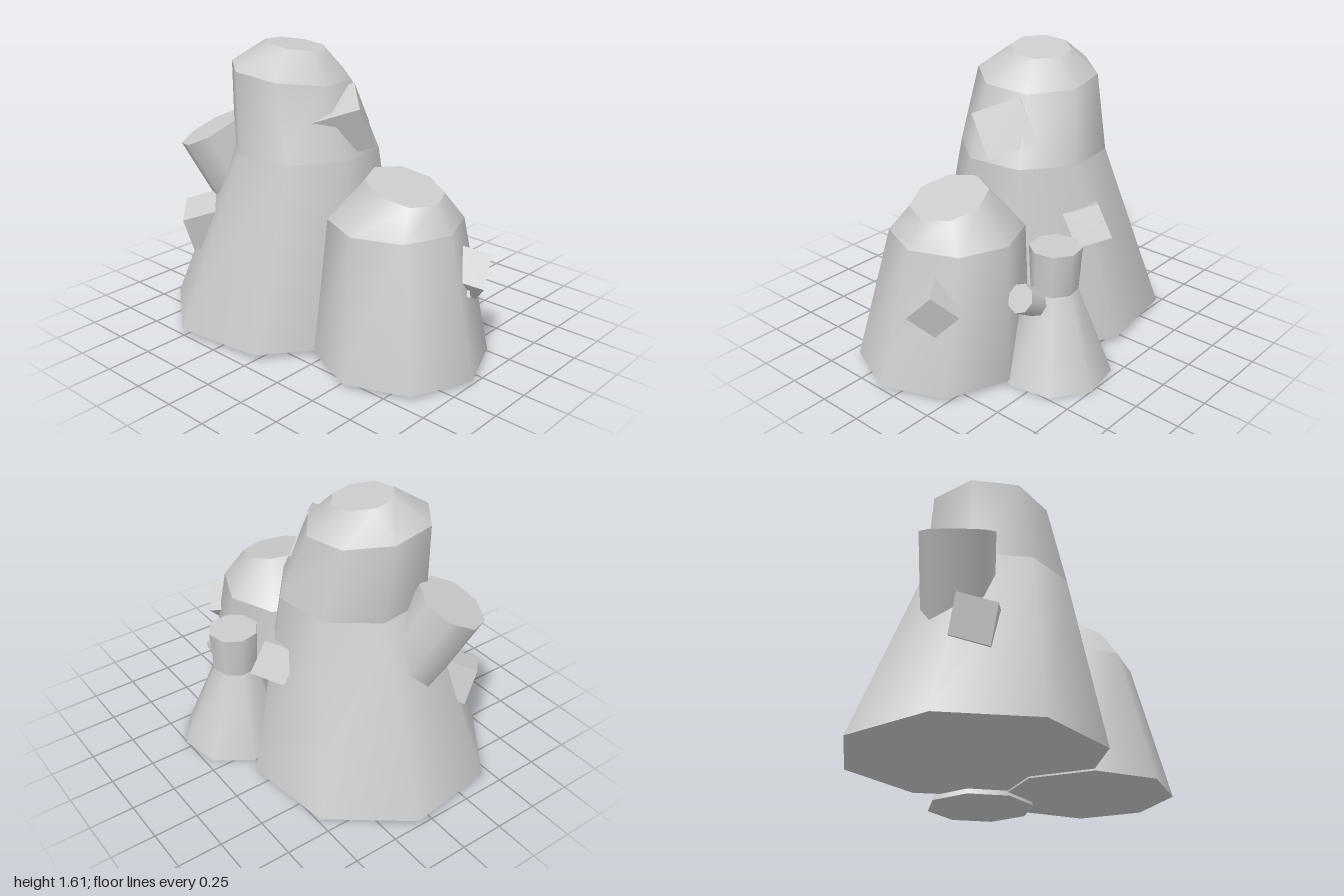
import * as THREE from 'three';

const SIDES = 8;
const material = new THREE.MeshStandardMaterial({ color: 0xcccccc });
const flatMaterial = new THREE.MeshStandardMaterial({ color: 0xcccccc, flatShading: true });

// Stacked octagonal rings [y, x, z, radius, slopeX, slopeZ]; each band is smooth around, creased at its rings.
function rock(name, turn, rings) {
  const pos = [];
  const index = [];
  const addRing = ([y, cx, cz, r, sx = 0, sz = 0]) => {
    const start = pos.length / 3;
    for (let i = 0; i < SIDES; i++) {
      const a = turn + (i / SIDES) * Math.PI * 2;
      const dx = r * Math.cos(a);
      const dz = r * Math.sin(a);
      pos.push(cx + dx, y + sx * dx + sz * dz, cz + dz);
    }
    return start;
  };
  for (let k = 0; k < rings.length - 1; k++) {
    const a = addRing(rings[k]);
    const b = addRing(rings[k + 1]);
    for (let i = 0; i < SIDES; i++) {
      const j = (i + 1) % SIDES;
      index.push(a + i, b + i, a + j, a + j, b + i, b + j);
    }
  }
  // flat ends
  const bottom = addRing(rings[0]);
  const top = addRing(rings[rings.length - 1]);
  for (let i = 1; i < SIDES - 1; i++) {
    index.push(bottom, bottom + i, bottom + i + 1);
    index.push(top, top + i + 1, top + i);
  }
  const geometry = new THREE.BufferGeometry();
  geometry.setAttribute('position', new THREE.Float32BufferAttribute(pos, 3));
  geometry.setIndex(index);
  geometry.computeVertexNormals();
  const mesh = new THREE.Mesh(geometry, material);
  mesh.name = name;
  return mesh;
}

// Octagonal stub running from a buried point to its visible cap.
function stub(name, from, to, rBottom, rTop) {
  const a = new THREE.Vector3(...from);
  const b = new THREE.Vector3(...to);
  const axis = b.clone().sub(a);
  const mesh = new THREE.Mesh(new THREE.CylinderGeometry(rTop, rBottom, axis.length(), SIDES), material);
  mesh.position.copy(a).add(b).multiplyScalar(0.5);
  mesh.quaternion.setFromUnitVectors(new THREE.Vector3(0, 1, 0), axis.normalize());
  mesh.name = name;
  return mesh;
}

// Tilted block given by one outer corner and its three edges.
function block(name, corner, e1, e2, e3) {
  let [u, v, w] = [e1, e2, e3].map((e) => new THREE.Vector3(...e));
  if (u.clone().cross(v).dot(w) < 0) [u, v] = [v, u];
  const geometry = new THREE.BoxGeometry(1, 1, 1).translate(0.5, 0.5, 0.5);
  geometry.applyMatrix4(new THREE.Matrix4().makeBasis(u, v, w));
  const mesh = new THREE.Mesh(geometry, flatMaterial);
  mesh.position.set(...corner);
  mesh.name = name;
  return mesh;
}

export function createModel() {
  const group = new THREE.Group();
  group.name = 'rockCluster';

  // Main rocks
  group.add(
    rock('tallRock', 0.26, [
      [0.03, -0.34, 0.088, 0.68],
      [1.04, -0.19, 0.07, 0.41],
      [1.445, -0.265, 0.1, 0.335, -0.09, 0.07],
      [1.583, -0.255, 0.07, 0.168, -0.1, 0.1],
    ]),
    rock('shortRock', 0, [
      [0.02, 0.53, 0.09, 0.47],
      [0.755, 0.445, 0.05, 0.36],
      [0.945, 0.5, 0.05, 0.208, -0.27, 0],
    ]),
    rock('backRock', 0.21, [
      [0, 0.235, -0.455, 0.305],
      [0.48, 0.225, -0.435, 0.127],
      [0.72, 0.225, -0.44, 0.14],
    ]),
  );

  // Stubs growing out of the rocks
  group.add(
    stub('leftStub', [-0.45, 0.43, 0.08], [-0.69, 1.085, 0.32], 0.18, 0.195),
    stub('backStub', [0.22, 0.35, -0.42], [0.465, 0.5, -0.405], 0.07, 0.08),
  );

  // Tilted blocks stuck in the sides
  group.add(
    block('leftBlock', [-0.66, 0.6, 0.585], [-0.14, 0.06, -0.144], [0.01, -0.2, -0.062], [0.15, 0.06, -0.134]),
    block('upperBlock', [0.25, 1.32, 0.12], [-0.19, 0.08, -0.17], [0, -0.23, -0.12], [-0.2, -0.08, 0.16]),
    block('rightBlock', [0.94, 0.46, -0.06], [-0.05, 0.14, -0.13], [-0.11, -0.125, -0.09], [-0.14, 0.05, 0.1]),
    block('backBlock', [-0.12, 0.84, -0.45], [0.14, -0.05, 0.13], [0, -0.17, -0.1], [-0.14, -0.05, 0.12]),
    block('smallChip', [0.87, 0.4, -0.04], [-0.03, 0.04, -0.04], [-0.04, -0.03, 0], [-0.05, 0.02, 0.03]),
  );
  return group;
}
